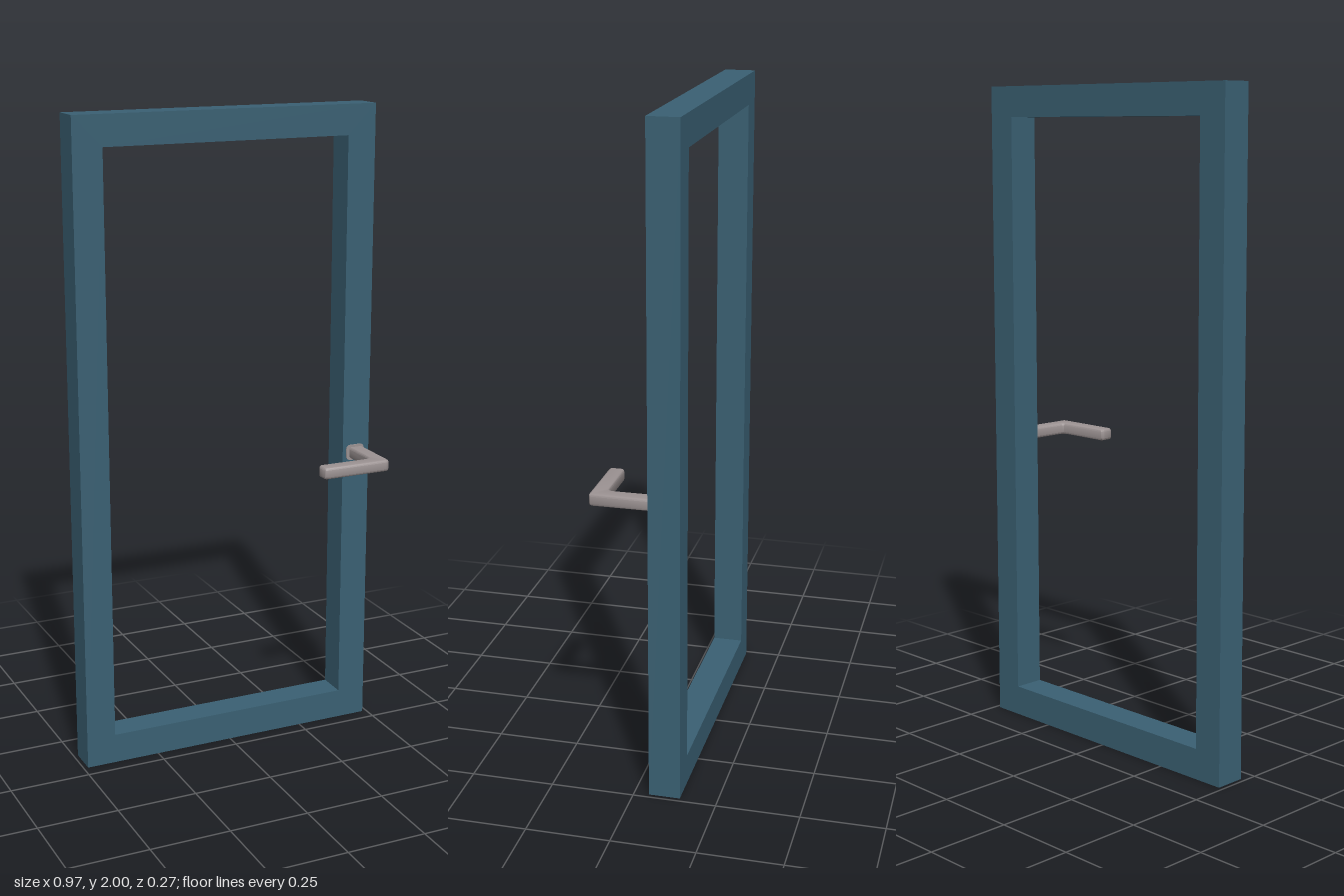
import * as THREE from 'three';
import { toCreasedNormals } from 'three/addons/utils/BufferGeometryUtils.js';

// Rounded rectangle outline centred on the origin
function roundedRect(w, h, r) {
  const s = new THREE.Shape();
  const x = w / 2 - r, y = h / 2 - r;
  s.absarc(x, y, r, 0, Math.PI / 2);
  s.absarc(-x, y, r, Math.PI / 2, Math.PI);
  s.absarc(-x, -y, r, Math.PI, Math.PI * 1.5);
  s.absarc(x, -y, r, Math.PI * 1.5, Math.PI * 2);
  s.closePath();
  return s;
}

export function createModel() {
  const group = new THREE.Group();
  const framePaint = new THREE.MeshStandardMaterial({ name: 'blue frame paint', color: 0x3a6073 });
  const metal = new THREE.MeshStandardMaterial({ name: 'brushed metal', color: 0x9c9393 });

  const add = (name, geometry, material) => {
    const mesh = new THREE.Mesh(geometry, material);
    mesh.name = name;
    group.add(mesh);
    return mesh;
  };

  // Door frame: one slab with a rectangular opening
  const outer = new THREE.Shape([
    new THREE.Vector2(-0.486, 0), new THREE.Vector2(0.486, 0),
    new THREE.Vector2(0.486, 2), new THREE.Vector2(-0.486, 2),
  ]);
  outer.holes.push(new THREE.Path([
    new THREE.Vector2(-0.394, 0.093), new THREE.Vector2(-0.394, 1.907),
    new THREE.Vector2(0.394, 1.907), new THREE.Vector2(0.394, 0.093),
  ]));
  const frame = new THREE.ExtrudeGeometry(outer, { depth: 0.094, bevelEnabled: false });
  add('doorFrame', frame, framePaint).position.z = -0.139;

  // Lever handle: L-shaped outline in x and z with rounded corners, bevelled top and bottom
  const x0 = 0.236, x1 = 0.416, x2 = 0.462, z0 = -0.046, z1 = 0.088, z2 = 0.135;
  const r = 0.012, inner = 0.016;
  const lever = new THREE.Shape();
  lever.moveTo(x1, z0);
  lever.lineTo(x2, z0);
  lever.lineTo(x2, z2 - r);
  lever.absarc(x2 - r, z2 - r, r, 0, Math.PI / 2);
  lever.absarc(x0 + r, z2 - r, r, Math.PI / 2, Math.PI);
  lever.absarc(x0 + r, z1 + r, r, Math.PI, Math.PI * 1.5);
  lever.absarc(x1 - inner, z1 - inner, inner, Math.PI / 2, 0, true);
  lever.closePath();
  const bevel = 0.007, height = 0.036;
  const leverGeometry = new THREE.ExtrudeGeometry(lever, {
    depth: height - 2 * bevel, bevelEnabled: true, bevelThickness: bevel,
    bevelSize: bevel, bevelOffset: -bevel, bevelSegments: 3, curveSegments: 6,
  });
  leverGeometry.rotateX(Math.PI / 2);
  add('leverHandle', toCreasedNormals(leverGeometry, 0.7), metal)
    .position.y = 0.91 + height / 2 - bevel;

  // Thin mounting plate behind the lever
  const plate = new THREE.ExtrudeGeometry(roundedRect(0.062, 0.05, 0.014), {
    depth: 0.004, bevelEnabled: false, curveSegments: 6,
  });
  add('handlePlate', toCreasedNormals(plate, 0.7), metal).position.set(0.437, 0.91, -0.0455);

  return group;
}
